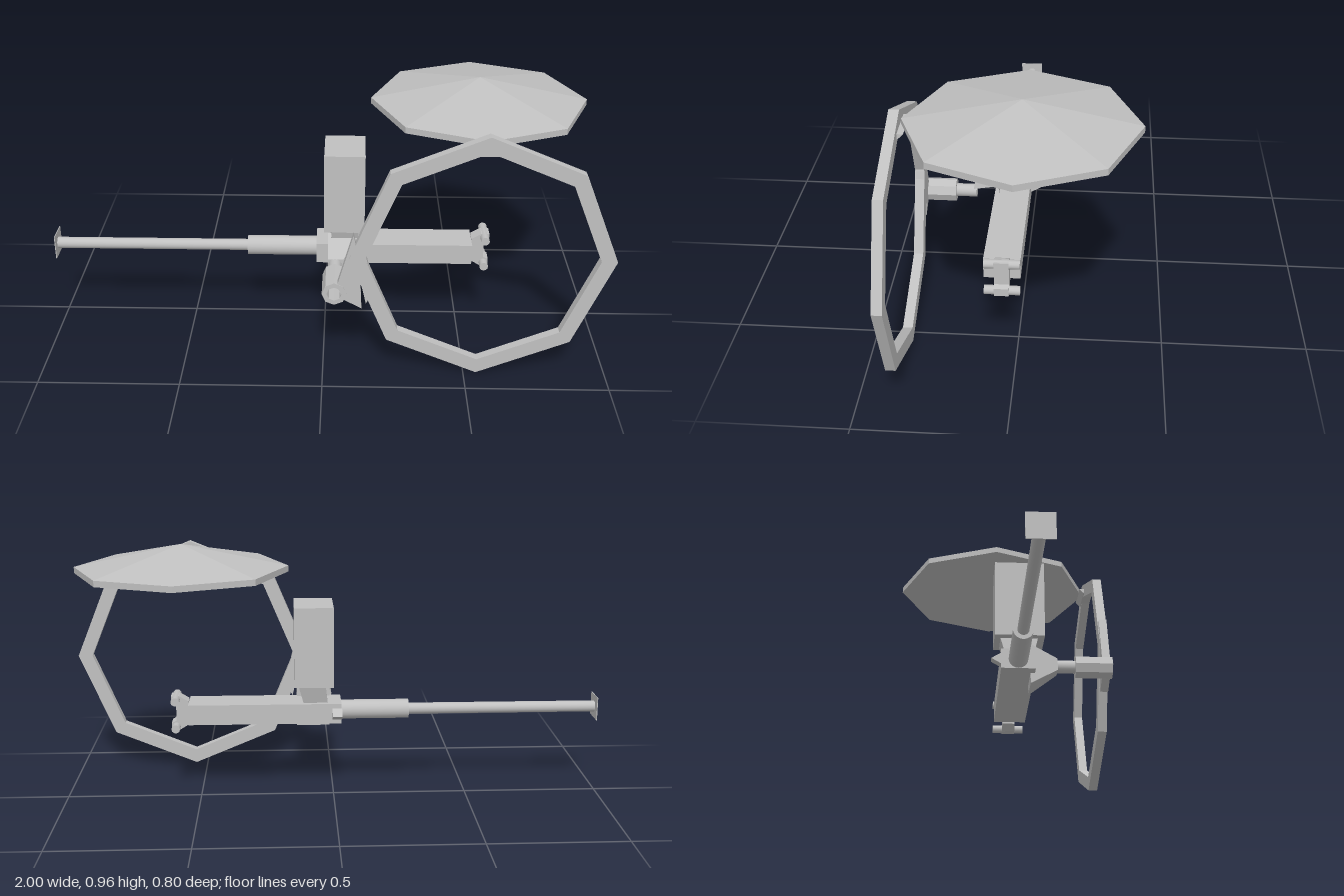
import * as THREE from 'three';

export function createModel() {
  const model = new THREE.Group();
  const gray = new THREE.MeshStandardMaterial({ color: 0xc0c0c0 });
  gray.name = 'lightGray';
  gray.flatShading = true;
  const smoothGray = gray.clone();
  smoothGray.name = 'lightGraySmooth';
  smoothGray.flatShading = false;

  const add = (name, geometry, material = gray) => {
    const mesh = new THREE.Mesh(geometry, material);
    mesh.name = name;
    model.add(mesh);
    return mesh;
  };

  // Box given by its minimum and maximum corners
  const box = (name, a, b) => {
    const g = new THREE.BoxGeometry(b[0] - a[0], b[1] - a[1], b[2] - a[2]);
    g.translate((a[0] + b[0]) / 2, (a[1] + b[1]) / 2, (a[2] + b[2]) / 2);
    return add(name, g);
  };

  // Cylinder between two values along x or z
  const rod = (name, axis, from, to, [u, v], r, sides = 20) => {
    const g = new THREE.CylinderGeometry(r, r, to - from, sides);
    if (axis === 'x') g.rotateZ(Math.PI / 2).translate((from + to) / 2, u, v);
    else g.rotateX(Math.PI / 2).translate(u, v, (from + to) / 2);
    return add(name, g, smoothGray);
  };

  // Flat outline in x and y, extruded between two z values
  const plate = (name, points, z0, z1, hole) => {
    const shape = new THREE.Shape(points.map(([x, y]) => new THREE.Vector2(x, y)));
    if (hole) shape.holes.push(new THREE.Path(hole.map(([x, y]) => new THREE.Vector2(x, y))));
    const g = new THREE.ExtrudeGeometry(shape, { depth: z1 - z0, bevelEnabled: false });
    return add(name, g.translate(0, 0, z0));
  };

  // Tapered block between two rectangles along an axis, open on its +x side
  const taper = (name, axis, start, end) => {
    const g = new THREE.BoxGeometry(1, 1, 1);
    const p = g.attributes.position;
    const cross = axis === 'y' ? ['X', 'Z'] : ['X', 'Y'];
    const along = axis.toUpperCase();
    for (let i = 0; i < p.count; i++) {
      const r = p['get' + along](i) < 0 ? start : end;
      p['set' + along](i, r.at);
      cross.forEach((c, k) => p['set' + c](i, p['get' + c](i) < 0 ? r.min[k] : r.max[k]));
    }
    g.setIndex(Array.from(g.index.array).slice(6));
    g.clearGroups();
    return add(name, g);
  };

  // Octagonal ring
  const octagon = (r) => Array.from({ length: 8 }, (_, i) => {
    const a = i * Math.PI / 4;
    return [0.545 + r * Math.cos(a), 0.455 + r * Math.sin(a)];
  });
  plate('octagonRing', octagon(0.455), 0.368, 0.402, octagon(0.4));

  // Shallow conical canopy with a thin rim
  add('canopyRim', new THREE.CylinderGeometry(0.382, 0.382, 0.022, 8).translate(0.545, 0.869, -0.018));
  add('canopyTop', new THREE.ConeGeometry(0.382, 0.08, 8, 1, true).translate(0.545, 0.92, -0.018));

  // Wedge joining the canopy and ring
  const wedge = new THREE.Shape([[-0.402, 0.842], [-0.365, 0.842], [-0.347, 0.86], [-0.402, 0.86]]
    .map(([x, y]) => new THREE.Vector2(x, y)));
  add('canopyWedge', new THREE.ExtrudeGeometry(wedge, { depth: 0.136, bevelEnabled: false })
    .rotateY(Math.PI / 2).translate(0.477, 0, 0));

  // Pointed bracket holding the ring to the hub
  plate('ringBracket', [[0.05, 0.35], [0.105, 0.545], [0.115, 0.5], [0.135, 0.5], [0.15, 0.455],
    [0.18, 0.33], [0.15, 0.28], [0.13, 0.37], [0.135, 0.26], [0.07, 0.295]], 0.37, 0.4);

  // Hollow hub and its shaft
  const hub = [[0.026, 0.27], [0.026, 0.402], [0.043, 0.402], [0.043, 0.266], [0.026, 0.266]]
    .map(([r, y]) => new THREE.Vector2(r, y)).reverse();
  add('hub', new THREE.LatheGeometry(hub, 8).rotateX(Math.PI / 2).translate(0.04, 0.317, 0));
  rod('hubShaft', 'z', 0.19, 0.275, [0.04, 0.317], 0.024);
  taper('hubMount', 'z',
    { at: 0.1, min: [0.012, 0.24], max: [0.135, 0.395] },
    { at: 0.2, min: [0.015, 0.295], max: [0.07, 0.34] });

  // Upright box on a tapered neck
  box('uprightBox', [0, 0.425, -0.032], [0.145, 0.725, 0.154]);
  taper('boxNeck', 'y',
    { at: 0.35, min: [0.02, 0.01], max: [0.11, 0.11] },
    { at: 0.426, min: [0.03, -0.01], max: [0.13, 0.13] });

  // Main beam, and a pointed lug on its back
  box('mainBeam', [-0.03, 0.28, -0.01], [0.54, 0.356, 0.116]);
  const lug = new THREE.Shape([[0.01, 0.296], [0.046, 0.317], [0.01, 0.338]]
    .map(([x, y]) => new THREE.Vector2(x, y)));
  add('backLug', new THREE.ExtrudeGeometry(lug, { depth: 0.036, bevelEnabled: false })
    .rotateY(Math.PI / 2).translate(-0.032, 0, 0));

  // Long rod, its sleeve and square end plate
  rod('sleeve', 'x', -0.285, -0.03, [0.317, 0.053], 0.036);
  rod('longRod', 'x', -0.998, -0.28, [0.317, 0.053], 0.021);
  box('rodEndPlate', [-1, 0.273, 0.008], [-0.997, 0.361, 0.098]);

  // Forked clamp with a cross bar on each prong
  plate('clampFork', [[0.54, 0.273], [0.575, 0.252], [0.605, 0.252], [0.605, 0.28], [0.587, 0.287],
    [0.587, 0.348], [0.605, 0.355], [0.605, 0.383], [0.575, 0.383], [0.54, 0.362]], 0.025, 0.075);
  for (const y of [0.265, 0.37]) rod('clampBar', 'z', -0.012, 0.109, [0.588, y], 0.016, 12);

  // One shared colour, with smooth normals only on the round parts
  return model;
}
